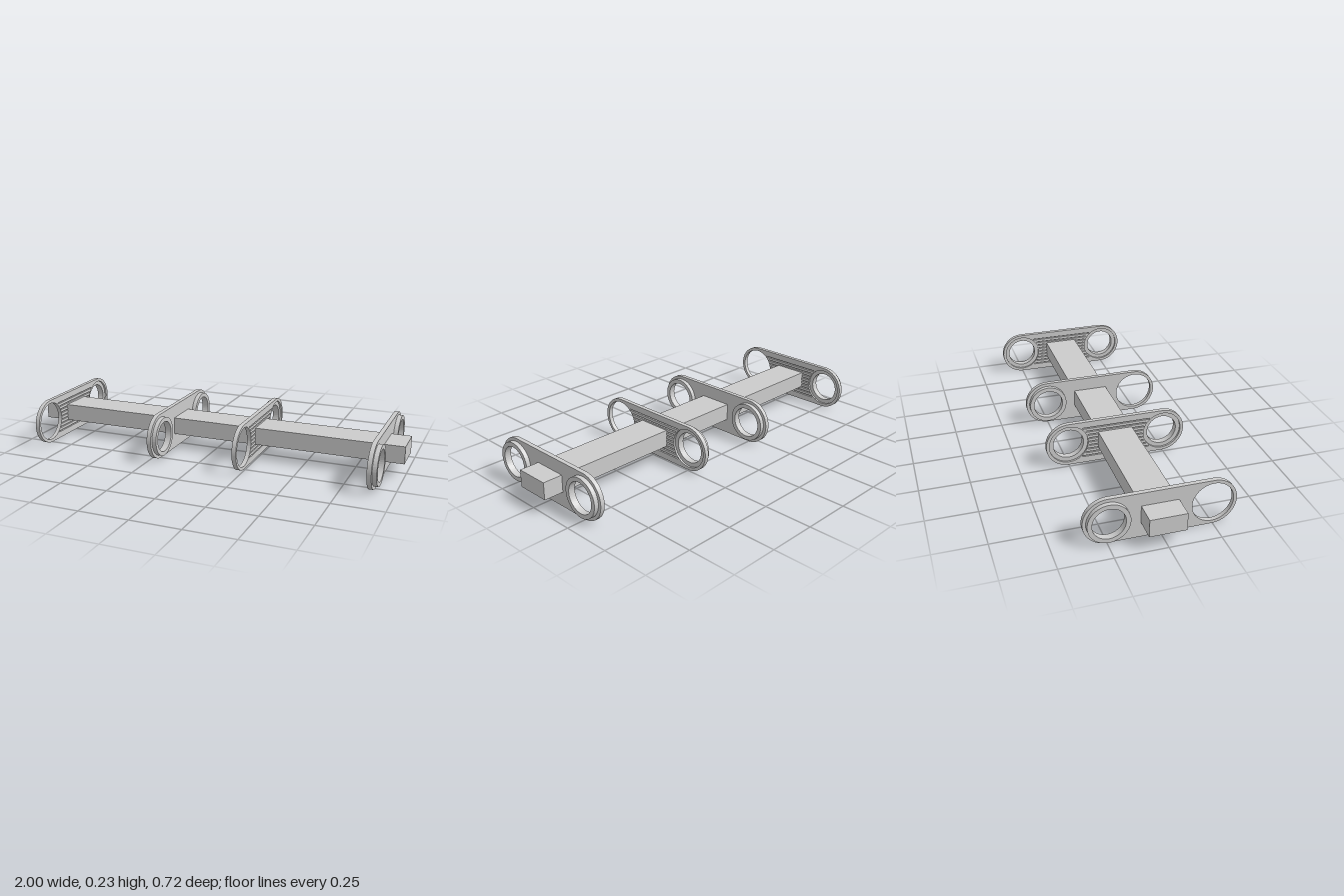
import * as THREE from 'three';

const material = new THREE.MeshStandardMaterial({ color: 0xcccccc, flatShading: true });
const SPAN = 0.246;   // hole centres from the middle of a plate
const END_R = 0.116;  // rounded plate ends
const HOLE_R = 0.1, BORE_R = 0.078;
const SKIN = 0.012, RIBS = 0.01, RING = 0.022;

// circular hole path
function circle(x, r) {
  return new THREE.Path().absarc(x, 0, r, 0, Math.PI * 2, true);
}

// rounded-end plate outline with its two large holes
function plateShape() {
  const s = new THREE.Shape();
  s.absarc(SPAN, 0, END_R, -Math.PI / 2, Math.PI / 2, false);
  s.absarc(-SPAN, 0, END_R, Math.PI / 2, Math.PI * 1.5, false);
  s.closePath();
  s.holes.push(circle(SPAN, HOLE_R), circle(-SPAN, HOLE_R));
  return s;
}

// same outline with lengthwise grooves between the holes
function ribbedShape() {
  const s = plateShape();
  for (let i = -4; i <= 4; i++) {
    const y = i * 0.02, h = 0.003;
    const inner = Math.max(Math.abs(y) - h, 0);
    const half = SPAN - Math.sqrt(HOLE_R ** 2 - inner ** 2) - 0.006;
    s.holes.push(new THREE.Path([
      new THREE.Vector2(-half, y - h), new THREE.Vector2(-half, y + h),
      new THREE.Vector2(half, y + h), new THREE.Vector2(half, y - h),
    ]));
  }
  return s;
}

function extrude(shape, depth, z, name) {
  const geo = new THREE.ExtrudeGeometry(shape, { depth, bevelEnabled: false, curveSegments: 24 });
  const mesh = new THREE.Mesh(geo, material);
  mesh.position.z = z;
  mesh.name = name;
  return mesh;
}

// one plate: back ribs, front skin and bearing rings; dir is the x side it faces
function bracket(x, dir, ringZ) {
  const g = new THREE.Group();
  g.add(extrude(ribbedShape(), RIBS, 0, 'ribbedBack'));
  g.add(extrude(plateShape(), SKIN, RIBS, 'plateFace'));
  for (const side of ringZ) {
    const ring = new THREE.Shape().absarc(-dir * side * SPAN, 0, HOLE_R, 0, Math.PI * 2, false);
    ring.holes.push(circle(-dir * side * SPAN, BORE_R));
    g.add(extrude(ring, SKIN + RING, RIBS, 'bearingRing'));
  }
  g.rotation.y = dir * Math.PI / 2;
  g.position.set(x - dir * (SKIN + RIBS) / 2, END_R, 0);
  g.name = 'bracketPlate';
  return g;
}

export function createModel() {
  const model = new THREE.Group();

  // long rectangular beam through all plates
  const beam = new THREE.Mesh(new THREE.BoxGeometry(2, 0.088, 0.176), material);
  beam.position.set(0, 0.121, -0.006);
  beam.name = 'beam';
  model.add(beam);

  // x position, facing direction, sides that carry a ring
  const plates = [
    [-0.88, -1, [-1]],
    [-0.224, 1, [-1, 1]],
    [0.232, -1, [-1]],
    [0.888, 1, [-1, 1]],
  ];
  for (const [x, dir, rings] of plates) model.add(bracket(x, dir, rings));
  return model;
}
